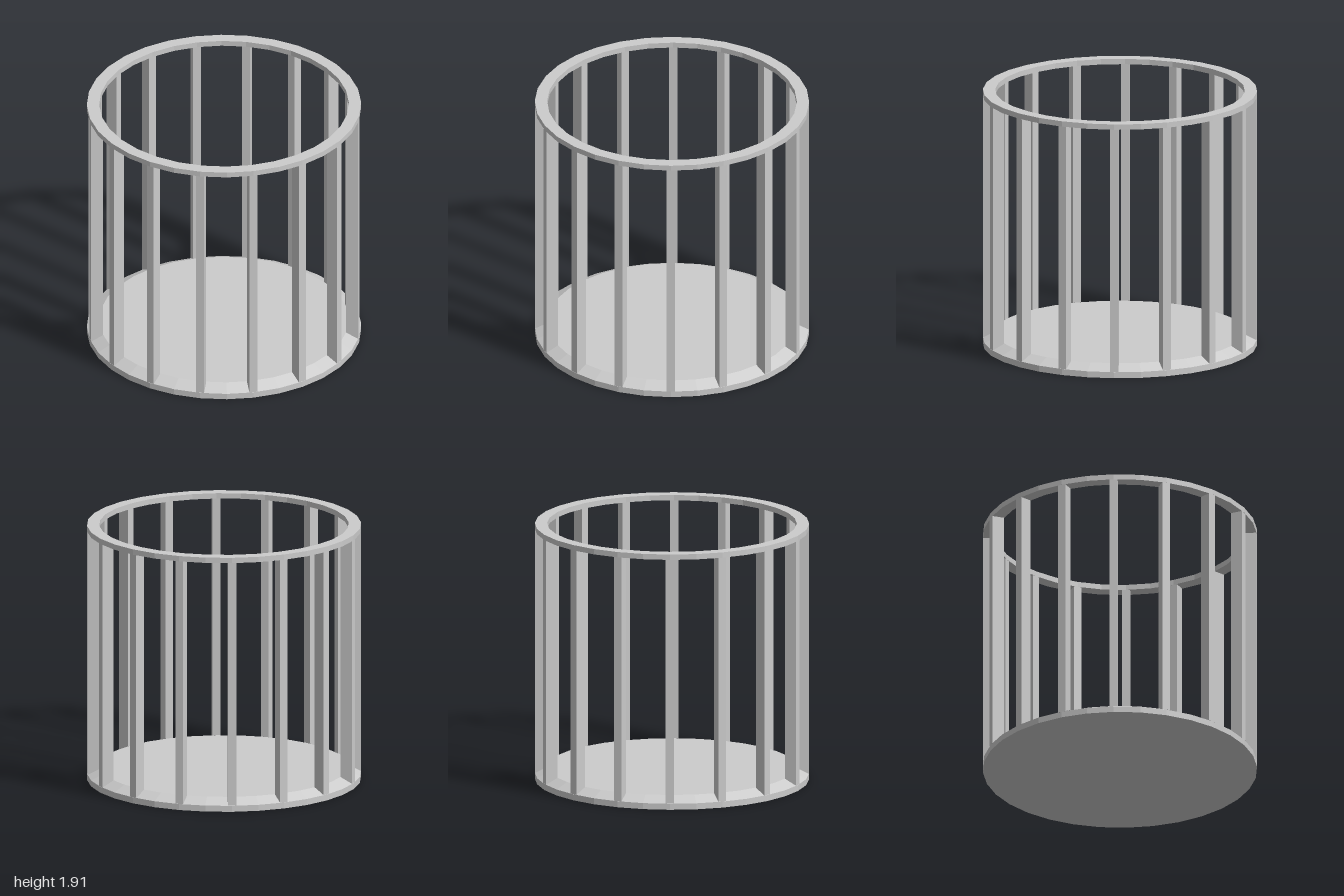
import * as THREE from 'three';

const SIDES = 32, BARS = 16;
const R_OUT = 1, R_IN = 0.91;
const RIM_Y = 1.87, TOP_Y = 1.91, BASE_Y = 0.045, FLOOR_Y = 0.09;
const BAR_WIDTH = 0.06;

const material = new THREE.MeshStandardMaterial({ color: 0xcccccc, flatShading: true });

// Faceted solid of revolution from [radius, height] pairs
function turned(name, profile) {
  const points = profile.map(([r, y]) => new THREE.Vector2(r, y));
  const mesh = new THREE.Mesh(new THREE.LatheGeometry(points, SIDES), material);
  mesh.name = name;
  return mesh;
}

export function createModel() {
  const group = new THREE.Group();
  group.name = 'roundCage';

  // Solid floor with a bevelled edge
  group.add(turned('base', [[0, 0], [R_OUT, 0], [R_OUT, BASE_Y], [R_IN, FLOOR_Y], [0, FLOOR_Y]]));

  // Open ring on top
  group.add(turned('topRing', [
    [R_IN, RIM_Y], [R_OUT, RIM_Y], [R_OUT, TOP_Y], [R_IN, TOP_Y], [R_IN, RIM_Y],
  ]));

  // Upright bars: radial side profile, cut at the foot to sit on the bevel
  const side = new THREE.Shape([
    new THREE.Vector2(R_IN, FLOOR_Y),
    new THREE.Vector2(R_OUT - 0.002, BASE_Y + 0.001),
    new THREE.Vector2(R_OUT - 0.002, RIM_Y),
    new THREE.Vector2(R_IN, RIM_Y),
  ]);
  const barGeometry = new THREE.ExtrudeGeometry(side, { depth: BAR_WIDTH, bevelEnabled: false });
  barGeometry.translate(0, 0, -BAR_WIDTH / 2);

  const bars = new THREE.Group();
  bars.name = 'bars';
  for (let i = 0; i < BARS; i++) {
    const bar = new THREE.Mesh(barGeometry, material);
    bar.name = `bar${i + 1}`;
    bar.rotation.y = (i / BARS) * Math.PI * 2;
    bars.add(bar);
  }
  group.add(bars);
  return group;
}
